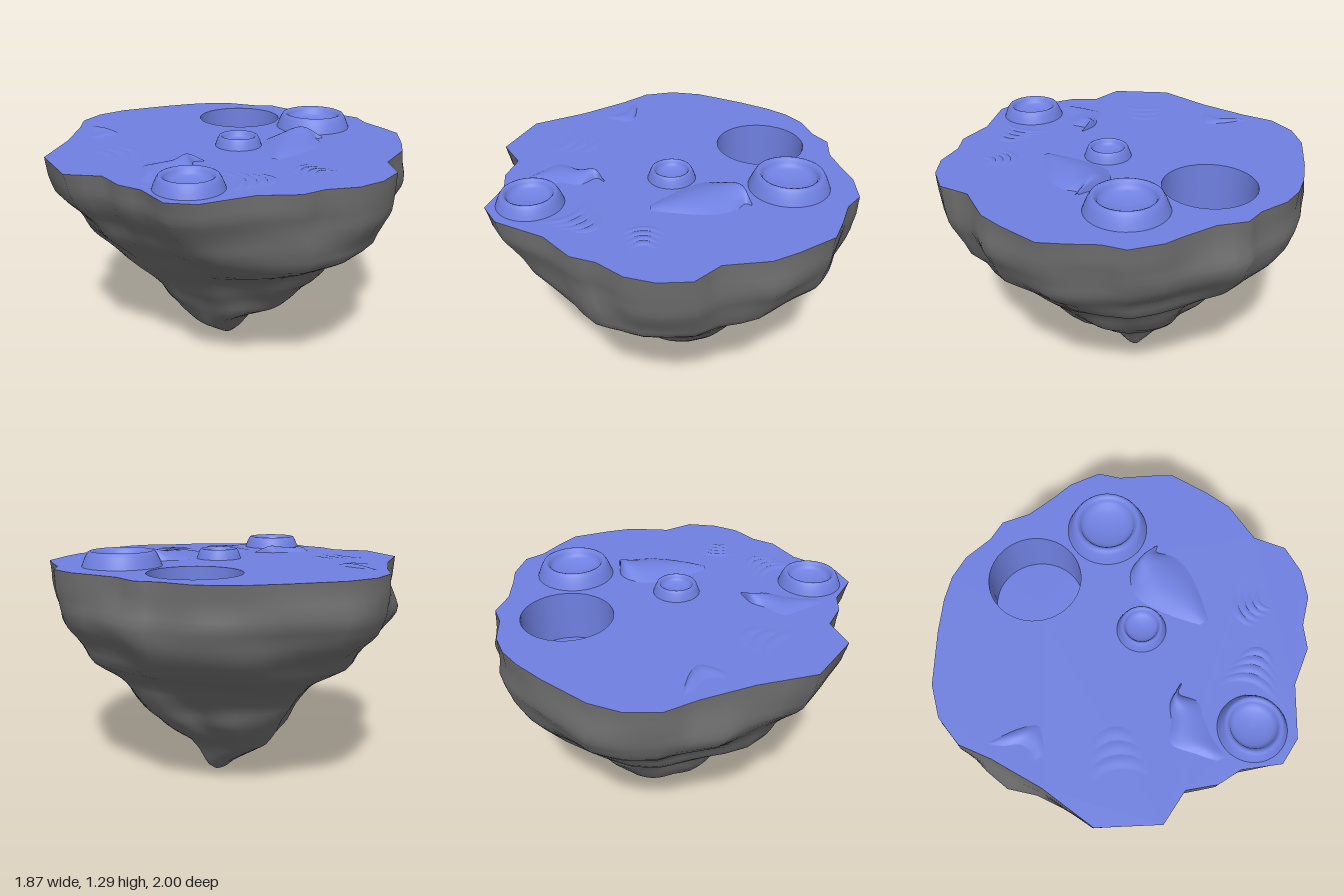
import * as THREE from 'three';

const TOP = 1.21;
const blue = new THREE.MeshStandardMaterial({ color: 0x6f80e0, side: THREE.DoubleSide });
blue.name = 'blue ground';
const grey = new THREE.MeshStandardMaterial({ color: 0x6c6c6c });
grey.name = 'grey rock';

// Rim of the island as x, z pairs, from the back round by the left side
const RIM = [
  [0.05, -0.99], [0.22, -0.95], [0.47, -0.81], [0.62, -0.71], [0.72, -0.62], [0.79, -0.51], [0.83, -0.35],
  [0.89, -0.25], [0.87, -0.10], [0.90, 0.06], [0.93, 0.18], [0.92, 0.35], [0.84, 0.44], [0.78, 0.58],
  [0.72, 0.70], [0.53, 0.81], [0.40, 0.87], [0.17, 0.89], [0.04, 1.0], [-0.12, 1.0], [-0.26, 0.95],
  [-0.38, 0.84], [-0.50, 0.79], [-0.63, 0.63], [-0.87, 0.49], [-0.94, 0.36], [-0.87, 0.17], [-0.88, 0.04],
  [-0.83, -0.11], [-0.92, -0.28], [-0.78, -0.57], [-0.50, -0.70], [-0.26, -0.85], [-0.12, -0.96],
];

// Reach of the rock at each height: y, -x, +x, +z, -z
const REACH = [
  [1.21, -0.94, 0.93, 0.99, -0.99], [1.1, -0.92, 0.93, 0.99, -0.99], [1.0, -0.86, 0.93, 0.97, -0.99],
  [0.9, -0.77, 0.89, 0.94, -0.94], [0.8, -0.69, 0.83, 0.88, -0.85], [0.72, -0.62, 0.79, 0.77, -0.80],
  [0.62, -0.52, 0.67, 0.65, -0.63], [0.5, -0.42, 0.59, 0.57, -0.51], [0.4, -0.34, 0.53, 0.47, -0.45],
  [0.3, -0.29, 0.41, 0.38, -0.39], [0.2, -0.22, 0.27, 0.20, -0.31], [0.14, -0.18, 0.23, 0.13, -0.22],
  [0.04, -0.04, 0.18, 0.06, -0.06], [0, 0.03, 0.13, 0.02, -0.02],
];

// Swellings and hollows of the rock: angle, height, angular spread, height spread, amount
const SWELLS = [
  [-0.14, 1.0, 0.15, 0.11, 0.05], [1.07, 1.0, 0.13, 0.11, 0.03], [-2.0, 1.0, 0.18, 0.11, 0.07],
  [-1.37, 1.0, 0.15, 0.11, 0.03], [1.88, 1.0, 0.15, 0.11, 0.02],
  [2.27, 0.79, 0.35, 0.13, 0.14], [-0.38, 0.86, 0.3, 0.1, 0.07], [-2.45, 0.6, 0.35, 0.22, 0.1],
  [-0.45, 0.48, 0.28, 0.2, -0.15], [-1.15, 0.4, 0.25, 0.22, 0.08], [-1.95, 0.42, 0.25, 0.2, -0.12],
  [2.35, 0.48, 0.3, 0.14, -0.1], [0.95, 0.38, 0.3, 0.18, -0.08],
];

function surface(positions, index, material, name) {
  const g = new THREE.BufferGeometry();
  g.setAttribute('position', new THREE.Float32BufferAttribute(positions, 3));
  g.setIndex(index);
  g.computeVertexNormals();
  const mesh = new THREE.Mesh(g, material);
  mesh.name = name;
  return mesh;
}

function reachAt(y) {
  let i = 0;
  while (i < REACH.length - 2 && REACH[i + 1][0] > y) i++;
  const a = REACH[i], b = REACH[i + 1], t = (a[0] - y) / (a[0] - b[0]);
  return a.map((v, k) => v + (b[k] - v) * t);
}

// Craggy cone lofted from the rim down to the tip
function makeRock() {
  const ring = [];
  RIM.forEach((p, i) => {
    const q = RIM[(i + 1) % RIM.length];
    ring.push(p, [(p[0] + q[0]) / 2, (p[1] + q[1]) / 2]);
  });
  const n = ring.length, levels = 36, pos = [], index = [];
  for (let j = 0; j <= levels; j++) {
    const y = TOP * (1 - j / levels), depth = 1 - y / TOP;
    const [, left, right, front, back] = reachAt(y);
    const cx = 0.08 * depth;
    const rounding = Math.min(1, depth * 1.6) * 0.9;
    for (const [x, z] of ring) {
      const u = x / (x < 0 ? 0.94 : 0.93), v = z / 0.99;
      const len = Math.hypot(u, v), a = Math.atan2(v, u);
      let k = (len + (0.99 - len) * rounding) / len;
      // Ledges and gullies, fading out at the rim
      const rough = Math.min(1, depth * 2) * Math.abs(Math.sin(2 * a));
      k += rough * (0.02 * Math.sin(5 * a + 7 * y) + 0.02 * Math.sin(9 * a - 13 * y + 1));
      k += Math.min(1, depth * 3) * 0.012 * Math.sin(28 * y + 3 * a);
      for (const [at, height, spread, rise, amount] of SWELLS) {
        const d = Math.atan2(Math.sin(a - at), Math.cos(a - at)) / spread;
        k += amount * Math.exp(-d * d) * Math.exp(-(((y - height) / rise) ** 2)) * Math.min(1, depth * 10);
      }
      pos.push(cx + u * k * (u < 0 ? cx - left : right - cx), y, v * k * (v < 0 ? -back : front));
    }
  }
  for (let j = 0; j < levels; j++) {
    for (let i = 0; i < n; i++) {
      const a = j * n + i, b = j * n + (i + 1) % n;
      index.push(a, b, a + n, b, b + n, a + n);
    }
  }
  // Close the tip
  const tip = pos.length / 3;
  pos.push(0.08, 0, 0);
  for (let i = 0; i < n; i++) index.push(levels * n + i, levels * n + (i + 1) % n, tip);
  return surface(pos, index, grey, 'rock');
}

// Flat ground with a round pit sunk into it
function makeGround() {
  const group = new THREE.Group();
  group.name = 'ground';
  const [px, pz, r, depth] = [0.505, -0.245, 0.24, 0.28];
  const shape = new THREE.Shape(RIM.map(([x, z]) => new THREE.Vector2(x, -z)));
  shape.holes.push(new THREE.Path().absarc(px, -pz, r, 0, Math.PI * 2));
  const add = (g, name, x, y, z) => {
    const mesh = new THREE.Mesh(g, blue);
    mesh.name = name;
    mesh.position.set(x, y, z);
    group.add(mesh);
  };
  add(new THREE.ShapeGeometry(shape, 24).rotateX(-Math.PI / 2), 'groundTop', 0, TOP, 0);
  add(new THREE.CylinderGeometry(r, r, depth, 48, 1, true), 'pitWall', px, TOP - depth / 2, pz);
  add(new THREE.CircleGeometry(r, 48).rotateX(-Math.PI / 2), 'pitFloor', px, TOP - depth, pz);
  return group;
}

// Raised crater: sloping outside, rounded lip, shallow bowl
function makeCrater(x, z, r, h) {
  const profile = [[0, 0.15], [0.2, 0.18], [0.4, 0.27], [0.55, 0.4], [0.64, 0.53], [0.67, 0.75], [0.72, 0.93],
    [0.78, 1], [0.83, 0.95], [0.89, 0.7], [0.95, 0.35], [1, 0]];
  const points = profile.map(([a, b]) => new THREE.Vector2(a * r, b * h));
  const mesh = new THREE.Mesh(new THREE.LatheGeometry(points, 48), blue);
  mesh.name = 'crater';
  mesh.position.set(x, TOP, z);
  return mesh;
}

// Mound between a back and a front edge, with a height at each edge point
function makeMound(name, back, front, heights, skew) {
  const curve = (pts) => new THREE.CatmullRomCurve3(pts.map(([x, z], i) => new THREE.Vector3(x, heights[i], z)));
  const cb = curve(back), cf = curve(front), nu = 24, nv = 10, pos = [], index = [];
  for (let i = 0; i <= nu; i++) {
    const p = cb.getPoint(i / nu), q = cf.getPoint(i / nu);
    for (let j = 0; j <= nv; j++) {
      const t = j / nv, h = Math.max(0, p.y) * Math.sin(Math.PI * t ** skew);
      pos.push(p.x + (q.x - p.x) * t, TOP + 0.001 + h, p.z + (q.z - p.z) * t);
    }
  }
  for (let i = 0; i < nu; i++) {
    for (let j = 0; j < nv; j++) {
      const a = i * (nv + 1) + j, b = a + nv + 1;
      index.push(a, a + 1, b, b, a + 1, b + 1);
    }
  }
  return surface(pos, index, blue, name);
}

// A row of thin curved ripples
function makeRipples(x, z, width, count, step, bend, turn, height) {
  const group = new THREE.Group();
  group.name = 'ripples';
  for (let k = 0; k < count; k++) {
    const w = width * (1 - 0.12 * k);
    const edge = (off) => [-1, -0.5, 0, 0.5, 1].map((s) => [s * w / 2, off + bend * s * s]);
    const heights = [0, 0.7, 1, 0.7, 0].map((s) => s * height);
    group.add(makeMound('ripple', edge(k * step), edge(k * step + step), heights, 1.3));
  }
  group.position.set(x, 0, z);
  group.rotation.y = turn;
  return group;
}

export function createModel() {
  const model = new THREE.Group();
  model.name = 'floatingIsland';
  model.add(makeRock(), makeGround());

  model.add(makeCrater(0.585, 0.225, 0.21, 0.08));
  model.add(makeCrater(-0.72, 0.325, 0.17, 0.065));
  model.add(makeCrater(-0.01, 0.105, 0.125, 0.055));

  // Dunes
  model.add(makeMound('frontDune',
    [[-0.13, 0.38], [-0.09, 0.34], [0.03, 0.24], [0.17, 0.17], [0.31, 0.22], [0.37, 0.39]],
    [[-0.13, 0.43], [0, 0.46], [0.17, 0.48], [0.28, 0.45], [0.34, 0.39], [0.37, 0.41]],
    [0.005, 0.02, 0.035, 0.045, 0.06, 0.01], 1));
  model.add(makeMound('sideDune',
    [[-0.78, 0.09], [-0.70, 0.02], [-0.60, -0.06], [-0.50, 0], [-0.42, 0.04], [-0.36, 0.13]],
    [[-0.78, 0.14], [-0.70, 0.13], [-0.58, 0.14], [-0.48, 0.16], [-0.40, 0.10], [-0.36, 0.14]],
    [0, 0.015, 0.02, 0.03, 0.04, 0.005], 1));
  model.add(makeMound('backDune',
    [[-0.37, -0.68], [-0.31, -0.67], [-0.26, -0.70], [-0.23, -0.77], [-0.19, -0.83]],
    [[-0.36, -0.62], [-0.29, -0.59], [-0.22, -0.58], [-0.19, -0.66], [-0.18, -0.82]],
    [0, 0.008, 0.012, 0.012, 0], 1.2));

  // Low ripples
  model.add(makeRipples(-0.59, -0.34, 0.28, 3, 0.07, -0.05, 1.2, 0.004));
  model.add(makeRipples(-0.52, 0.44, 0.30, 4, 0.05, -0.07, 0.75, 0.006));
  model.add(makeRipples(-0.17, 0.56, 0.20, 4, 0.04, 0.04, 0, 0.006));
  return model;
}
